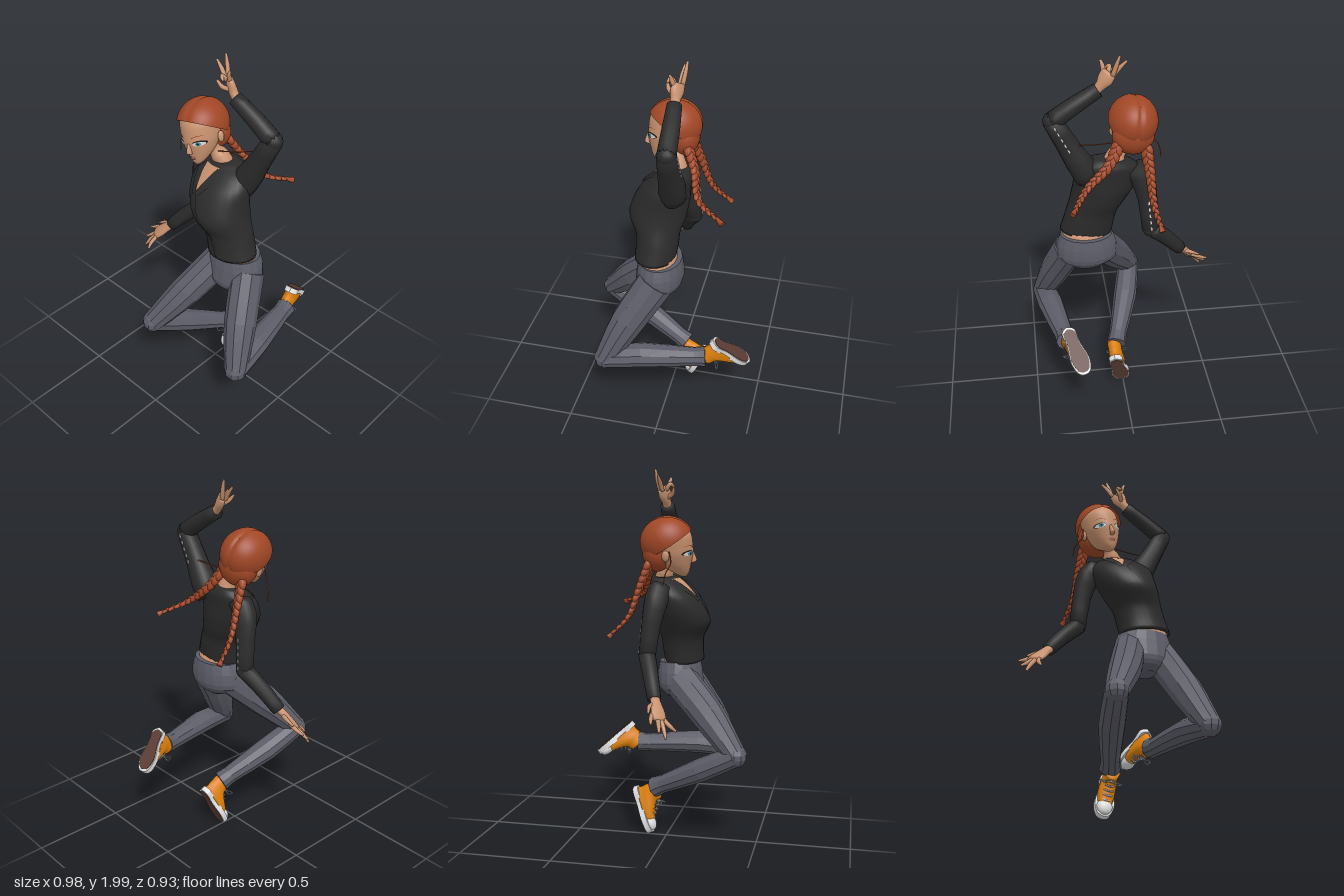
import * as THREE from 'three';
import { mergeGeometries } from 'three/addons/utils/BufferGeometryUtils.js';

const V = (a) => new THREE.Vector3(a[0], a[1], a[2]);
const mat = (name, color, extra = {}) => Object.assign(new THREE.MeshStandardMaterial({ color, ...extra }), { name });

export function createModel() {
  const skin = mat('skin', 0xc8926f), hair = mat('hair', 0xa14726, { side: THREE.DoubleSide }), jacket = mat('jacket', 0x2b2b2b);
  const denim = mat('denim', 0x5d5d69, { flatShading: true }), canvas = mat('orange canvas', 0xdb7f0c);
  const rubber = mat('white rubber', 0xdedede), tread = mat('brown tread', 0x5b3c34);
  const dark = mat('dark line', 0x191717), iris = mat('blue iris', 0x4f8fa3), lip = mat('lips', 0xa8675a);

  const model = new THREE.Group();
  model.name = 'jumpingWoman';
  const add = (name, geo, m, parent = model) => {
    const mesh = new THREE.Mesh(geo, m);
    mesh.name = name;
    parent.add(mesh);
    return mesh;
  };
  const ball = (p, s, seg = 12) => new THREE.SphereGeometry(1, seg, Math.ceil(seg * 0.7)).scale(...s).translate(...p);

  // Closed loft through [x, y, z, halfWidth, halfDepth] sections; an axis keeps all sections parallel, side sets the width direction
  function loft(pts, sides = 12, steps = pts.length * 3, axis = null, side = null) {
    const path = new THREE.CatmullRomCurve3(pts.map(V));
    const size = new THREE.CatmullRomCurve3(pts.map((p) => new THREE.Vector3(p[3], p[4] ?? p[3], 0)));
    const dir = V(pts[pts.length - 1]).sub(V(pts[0])).normalize();
    const ref = V(side ?? (Math.abs(dir.x) > 0.75 ? [0, 0, 1] : [1, 0, 0]));
    const pos = [], idx = [];
    for (let i = 0; i <= steps; i++) {
      const c = path.getPoint(i / steps), r = size.getPoint(i / steps);
      const t = axis ? V(axis).normalize() : path.getTangent(i / steps);
      const s = ref.clone().addScaledVector(t, -ref.dot(t)).normalize();
      const b = t.clone().cross(s);
      for (let j = 0; j < sides; j++) {
        const a = (j / sides) * Math.PI * 2;
        pos.push(...c.clone().addScaledVector(s, r.x * Math.cos(a)).addScaledVector(b, r.y * Math.sin(a)).toArray());
        if (i === steps) continue;
        const p = i * sides + j, q = i * sides + ((j + 1) % sides);
        idx.push(p, q, p + sides, q, q + sides, p + sides);
      }
    }
    const n = pos.length / 3, last = n - sides;
    pos.push(...pts[0].slice(0, 3), ...pts[pts.length - 1].slice(0, 3));
    for (let j = 0; j < sides; j++) {
      const k = (j + 1) % sides;
      idx.push(n, k, j, n + 1, last + j, last + k);
    }
    return surface(pos, idx);
  }
  function surface(pos, idx) {
    const g = new THREE.BufferGeometry();
    g.setAttribute('position', new THREE.Float32BufferAttribute(pos, 3));
    g.setIndex(idx);
    g.computeVertexNormals();
    return g;
  }

  // Thin patch laid on the front of a target mesh; fn maps (u, v) to (x, y)
  const ray = new THREE.Raycaster();
  function patch(name, target, fn, m, off, parent = model, nu = 8, nv = 8) {
    const pos = [], idx = [];
    for (let j = 0; j <= nv; j++) for (let i = 0; i <= nu; i++) {
      const [x, y] = fn(i / nu, j / nv);
      ray.set(new THREE.Vector3(x, y, 3), new THREE.Vector3(0, 0, -1));
      const hit = ray.intersectObject(target)[0];
      pos.push(x, y, (hit ? hit.point.z : 0) + off);
      if (i === nu || j === nv) continue;
      const p = j * (nu + 1) + i, q = p + nu + 1;
      idx.push(p, p + 1, q, p + 1, q + 1, q);
    }
    add(name, surface(pos, idx), m, parent);
  }
  const mix = (a, b, t) => a + (b - a) * t;
  const quad = (a, b, c, d) => (u, v) => [0, 1].map((k) => mix(mix(a[k], b[k], u), mix(d[k], c[k], u), v));
  const disc = (x, y, rx, ry) => (u, v) => [x + rx * u * Math.cos(v * 2 * Math.PI), y + ry * u * Math.sin(v * 2 * Math.PI)];
  const tube = (pts, r, n = 12) => new THREE.TubeGeometry(new THREE.CatmullRomCurve3(pts.map(V)), n, r, 5);

  // Torso with neckline, lapels and front placket
  const torso = add('jacketBody', loft([[0.185, 0.97, 0.065, 0.142, 0.108], [0.17, 1.03, 0.06, 0.137, 0.11],
    [0.15, 1.1, 0.06, 0.135, 0.115], [0.11, 1.19, 0.068, 0.148, 0.15], [0.085, 1.26, 0.055, 0.162, 0.147],
    [0.07, 1.34, 0.03, 0.172, 0.125], [0.06, 1.4, -0.005, 0.15, 0.095], [0.045, 1.438, -0.025, 0.085, 0.06]],
    28, 30, [-0.1, 1, 0]), jacket);
  patch('neckline', torso, quad([0.02, 1.325], [0.025, 1.325], [0.08, 1.43], [-0.02, 1.422]), skin, 0.004);
  patch('rightLapel', torso, quad([0.01, 1.3], [0.024, 1.315], [-0.015, 1.425], [-0.06, 1.39]), jacket, 0.009);
  patch('leftLapel', torso, quad([0.02, 1.315], [0.04, 1.3], [0.12, 1.4], [0.074, 1.43]), jacket, 0.009);
  patch('placket', torso, (u, v) => [mix(0.165, 0.025, v) + 0.012 * Math.sin(v * Math.PI) + u * 0.02, mix(0.985, 1.31, v)], jacket, 0.005, model, 2, 20);
  add('neck', loft([[0.045, 1.36, -0.03, 0.07, 0.06], [0.035, 1.43, -0.018, 0.054, 0.05], [0.015, 1.47, -0.005, 0.043], [-0.02, 1.54, 0.02, 0.043]], 16), skin);
  add('midriff', loft([[0.187, 0.92, 0.045, 0.128, 0.098], [0.184, 0.99, 0.055, 0.131, 0.1]], 20, 2, [0, 1, 0]), skin);

  // Trousers
  add('hips', loft([[0.19, 0.745, 0.06, 0.05, 0.06], [0.187, 0.775, 0.06, 0.12, 0.1], [0.185, 0.83, 0.045, 0.17, 0.127],
    [0.185, 0.9, 0.04, 0.164, 0.124], [0.185, 0.963, 0.04, 0.142, 0.114]], 18, 9, [0, 1, 0]), denim);
  const limb = (name, upper, lower, m, sides) => {
    add(name + 'Upper', loft(upper, sides, 6), m);
    add(name + 'Lower', loft(lower, sides, 6), m);
    const [x, y, z, r] = lower[0];
    add(name + 'Joint', ball([x, y, z], [r, r, r], sides), m);
  };
  limb('rightLeg', [[0.1, 0.87, 0.05, 0.085, 0.1], [0.01, 0.69, 0.23, 0.084, 0.092], [-0.095, 0.5, 0.395, 0.06, 0.058]],
    [[-0.095, 0.5, 0.395, 0.061, 0.057], [-0.05, 0.4, 0.2, 0.068, 0.064], [0.02, 0.29, -0.02, 0.05], [0.036, 0.262, -0.075, 0.057]], denim, 10);
  limb('leftLeg', [[0.28, 0.86, 0.045, 0.083, 0.1], [0.355, 0.64, 0.18, 0.085, 0.092], [0.43, 0.42, 0.295, 0.062, 0.06]],
    [[0.43, 0.42, 0.295, 0.062, 0.06], [0.395, 0.445, 0.1, 0.072, 0.065], [0.34, 0.44, -0.18, 0.052], [0.33, 0.445, -0.24, 0.057]], denim, 10);

  // Sleeves, with rows of small white dashes down the back of the upper arms
  limb('rightSleeve', [[-0.06, 1.375, -0.02, 0.06], [-0.105, 1.32, -0.03, 0.064], [-0.135, 1.2, -0.05, 0.052], [-0.15, 1.03, -0.07, 0.046]],
    [[-0.15, 1.03, -0.07, 0.046], [-0.24, 0.94, -0.03, 0.042], [-0.33, 0.835, 0.01, 0.036]], jacket, 12);
  limb('leftSleeve', [[0.17, 1.34, -0.02, 0.075], [0.215, 1.42, -0.03, 0.07], [0.27, 1.52, -0.03, 0.058], [0.345, 1.665, -0.035, 0.05]],
    [[0.345, 1.665, -0.035, 0.048], [0.24, 1.735, -0.03, 0.045], [0.115, 1.81, -0.02, 0.038]], jacket, 12);
  function dashes(name, a, b, count) {
    const turn = new THREE.Quaternion().setFromUnitVectors(new THREE.Vector3(0, 1, 0), V(b).sub(V(a)).normalize());
    for (let i = 0; i < count; i++) {
      const d = add(name, new THREE.BoxGeometry(0.007, 0.018, 0.008), rubber);
      d.position.lerpVectors(V(a), V(b), i / (count - 1));
      d.quaternion.copy(turn);
    }
  }
  dashes('rightSleeveDash', [-0.135, 1.2, -0.102], [-0.148, 1.05, -0.114], 5);
  dashes('leftSleeveDash', [0.27, 1.52, -0.088], [0.335, 1.645, -0.086], 5);

  // Hands: a palm loft plus tapered fingers given as [base, middle, tip]
  function hand(name, spread, palm, fingers) {
    const parts = fingers.map((f) => loft(f.map((p, i) => [...p, [0.0125, 0.0115, 0.006][i]]), 7, 6));
    add(name, mergeGeometries([loft(palm, 12, 8, null, spread), ...parts]), skin);
  }
  hand('rightHand', [0.09, -0.05, 0.11], [[-0.31, 0.85, 0.005, 0.024, 0.022], [-0.35, 0.815, 0.025, 0.03, 0.02], [-0.39, 0.775, 0.045, 0.043, 0.017], [-0.42, 0.745, 0.058, 0.04, 0.013]],
    [[[-0.4, 0.78, 0.02], [-0.445, 0.76, 0.02], [-0.49, 0.74, 0.03]], [[-0.41, 0.76, 0.045], [-0.45, 0.725, 0.06], [-0.485, 0.7, 0.07]],
      [[-0.41, 0.745, 0.065], [-0.44, 0.705, 0.085], [-0.465, 0.665, 0.1]], [[-0.395, 0.745, 0.075], [-0.405, 0.715, 0.11], [-0.4, 0.69, 0.138]],
      [[-0.35, 0.815, 0.015], [-0.39, 0.81, 0], [-0.44, 0.785, 0.005]]]);
  hand('leftHand', [0.09, 0.02, 0.06], [[0.135, 1.8, -0.02, 0.025, 0.022], [0.105, 1.83, -0.022, 0.026, 0.023], [0.078, 1.87, -0.026, 0.042, 0.022], [0.06, 1.9, -0.03, 0.038, 0.017]],
    [[[0.045, 1.89, -0.045], [0.028, 1.945, -0.055], [0.012, 1.995, -0.062]], [[0.04, 1.885, -0.03], [0.01, 1.925, -0.035], [-0.025, 1.96, -0.04]],
      [[0.085, 1.89, -0.015], [0.09, 1.93, 0], [0.1, 1.955, 0.005]], [[0.065, 1.89, -0.015], [0.055, 1.92, 0.01], [0.075, 1.905, 0.025]],
      [[0.085, 1.85, -0.01], [0.065, 1.87, 0.02], [0.04, 1.9, 0.03]]]);

  // Head, tilted towards the right shoulder and turned a little to the left
  const head = new THREE.Group();
  head.name = 'head';
  const face = add('face', loft([[0, -0.17, 0.09, 0.014, 0.018], [0, -0.15, 0.077, 0.038, 0.042], [0, -0.1, 0.047, 0.072, 0.085],
    [0, -0.035, 0.03, 0.095, 0.113], [0, 0.04, 0.02, 0.1, 0.116], [0, 0.09, 0.01, 0.085, 0.098], [0, 0.115, 0, 0.03, 0.04]], 28, 26, [0, 1, 0]), skin, head);
  add('nose', loft([[0, -0.099, 0.132, 0.008, 0.006], [0, -0.09, 0.145, 0.015, 0.014], [0, -0.073, 0.144, 0.011, 0.015], [0, -0.04, 0.134, 0.008, 0.01]], 10, 8, [0, 1, 0]), skin, head);
  patch('upperLip', face, disc(0, -0.12, 0.023, 0.006), lip, 0.005, head, 3, 16);
  patch('lowerLip', face, disc(0, -0.129, 0.018, 0.006), lip, 0.006, head, 3, 16);
  for (const s of [-1, 1]) {
    const side = s > 0 ? 'left' : 'right';
    patch(side + 'EyeOutline', face, disc(s * 0.054, -0.037, 0.028, 0.0145), dark, 0.002, head, 4, 20);
    patch(side + 'EyeWhite', face, disc(s * 0.053, -0.04, 0.025, 0.0115), rubber, 0.004, head, 4, 20);
    patch(side + 'Iris', face, disc(s * 0.052, -0.039, 0.0115, 0.0115), iris, 0.006, head, 3, 16);
    patch(side + 'Pupil', face, disc(s * 0.052, -0.039, 0.005, 0.006), dark, 0.008, head, 2, 12);
    patch(side + 'Brow', face, (u, v) => {
      const t = s > 0 ? u : 1 - u;
      return [s * (0.022 + 0.056 * t), -0.012 + 0.013 * Math.sin(t * 2.3) + v * 0.005 * (1 - t * 0.6)];
    }, hair, 0.004, head, 8, 1);
    add(side + 'Ear', ball([s * 0.1, -0.045, 0.005], [0.013, 0.03, 0.02]), skin, head);
  }

  // Swept-back hair with a groove along the parting
  const cap = new THREE.SphereGeometry(1, 48, 24, 0, Math.PI * 2, 0, Math.PI * 0.53).rotateX(-0.6);
  const cp = cap.attributes.position;
  for (let i = 0; i < cp.count; i++) {
    const k = 1 - 0.06 * Math.exp(-((cp.getX(i) / 0.09) ** 2));
    cp.setXYZ(i, cp.getX(i) * 0.128 * k, cp.getY(i) * 0.134 * k + 0.012, cp.getZ(i) * 0.144 * k + 0.007);
  }
  cap.computeVertexNormals();
  add('hairCap', cap, hair, head);
  add('hairNape', ball([0, -0.045, -0.045], [0.111, 0.1, 0.08], 20), hair, head);
  head.position.set(-0.062, 1.607, 0.012);
  head.rotation.set(0, 0.12, 0.19);
  model.add(head);

  // Braids: crossing tapered lobes along a curve, ending in a tuft
  function braid(name, pts) {
    const curve = new THREE.CatmullRomCurve3(pts.map(V)), parts = [], n = 24;
    const up = new THREE.Vector3(0, 1, 0);
    for (let i = 0; i < n; i++) {
      const t = curve.getTangentAt(i / n), r = mix(0.027, 0.011, i / n), s = i % 2 ? 1 : -1;
      const out = new THREE.Vector3(1, 0, 0.3).cross(t).cross(t).normalize();
      const q = new THREE.Quaternion().setFromUnitVectors(up, t.clone().addScaledVector(out, s * 0.4).normalize());
      const p = curve.getPointAt(i / n).addScaledVector(out, s * r * 0.3);
      parts.push(ball([0, 0, 0], [r * 0.85, r * 1.6, r * 0.85], 8).applyQuaternion(q).translate(p.x, p.y, p.z));
    }
    const e = curve.getPointAt(1), t = curve.getTangentAt(1);
    parts.push(new THREE.CylinderGeometry(0.017, 0.007, 0.045, 8).applyQuaternion(new THREE.Quaternion().setFromUnitVectors(up, t)).translate(e.x, e.y, e.z));
    add(name, mergeGeometries(parts), hair);
  }
  braid('rightBraid', [[-0.12, 1.52, -0.06], [-0.135, 1.39, -0.11], [-0.15, 1.23, -0.17], [-0.175, 1.14, -0.255]]);
  braid('leftBraid', [[0.02, 1.53, -0.07], [0.075, 1.44, -0.115], [0.19, 1.34, -0.16], [0.265, 1.285, -0.28]]);
  add('rightStrand', tube([[-0.165, 1.57, 0.05], [-0.17, 1.51, 0.06], [-0.205, 1.46, 0.04], [-0.215, 1.4, 0.03]], 0.003), hair);
  add('leftStrand', tube([[0.04, 1.5, 0.02], [0.13, 1.515, -0.02], [0.22, 1.535, -0.06], [0.31, 1.52, -0.06]], 0.003), hair);

  // High-top shoes: local frame has the heel at the origin, toe along +z, sole at y = 0
  function shoe(name, heel, toe, upHint) {
    const g = new THREE.Group();
    g.name = name;
    const f = V(toe).sub(V(heel)).normalize(), x = V(upHint).cross(f).normalize();
    g.applyMatrix4(new THREE.Matrix4().makeBasis(x, f.clone().cross(x), f).setPosition(V(heel)));
    const outline = (k) => new THREE.Shape(new THREE.SplineCurve([[0, 0], [0.036, 0.025], [0.036, 0.1], [0.051, 0.19], [0.034, 0.255],
      [0, 0.272], [-0.034, 0.255], [-0.051, 0.19], [-0.036, 0.1], [-0.036, 0.025], [0, 0]]
      .map(([a, b]) => new THREE.Vector2(a * k, -(0.136 + (b - 0.136) * k)))).getPoints(40));
    const slab = (k, d, y) => new THREE.ExtrudeGeometry(outline(k), { depth: d, bevelEnabled: false }).rotateX(-Math.PI / 2).translate(0, y, 0);
    add('sole', slab(1, 0.03, 0.003), rubber, g);
    add('tread', slab(0.9, 0.006, 0), tread, g);
    add('upper', loft([[0, 0.025, 0.135, 0.043, 0.126], [0, 0.05, 0.125, 0.043, 0.112], [0, 0.075, 0.092, 0.041, 0.082],
      [0, 0.1, 0.067, 0.038, 0.057], [0, 0.135, 0.058, 0.04, 0.05]], 20, 12, [0, 1, 0]), canvas, g);
    add('toeCap', ball([0, 0.036, 0.218], [0.041, 0.028, 0.046], 16), rubber, g);
    for (let i = 0; i < 5; i++) {
      const y = 0.066 + i * 0.014, z = 0.198 - i * 0.019;
      add('lace', tube([[-0.024, y - 0.008, z - 0.01], [0, y, z + 0.002], [0.024, y - 0.008, z - 0.01]], 0.0045, 6), rubber, g);
    }
    for (const s of [-1, 1]) add('bow', tube([[0, 0.125, 0.118], [s * 0.035, 0.14, 0.14], [s * 0.06, 0.12, 0.125], [s * 0.03, 0.115, 0.13], [0, 0.125, 0.118]], 0.003, 16), rubber, g);
    model.add(g);
  }
  shoe('rightShoe', [0.06, 0.248, -0.205], [0, 0, -0.102], [0, 0.38, 0.9]);
  shoe('leftShoe', [0.33, 0.57, -0.28], [0.25, 0.41, -0.46], [0.1, -0.65, 0.7]);
  return model;
}
